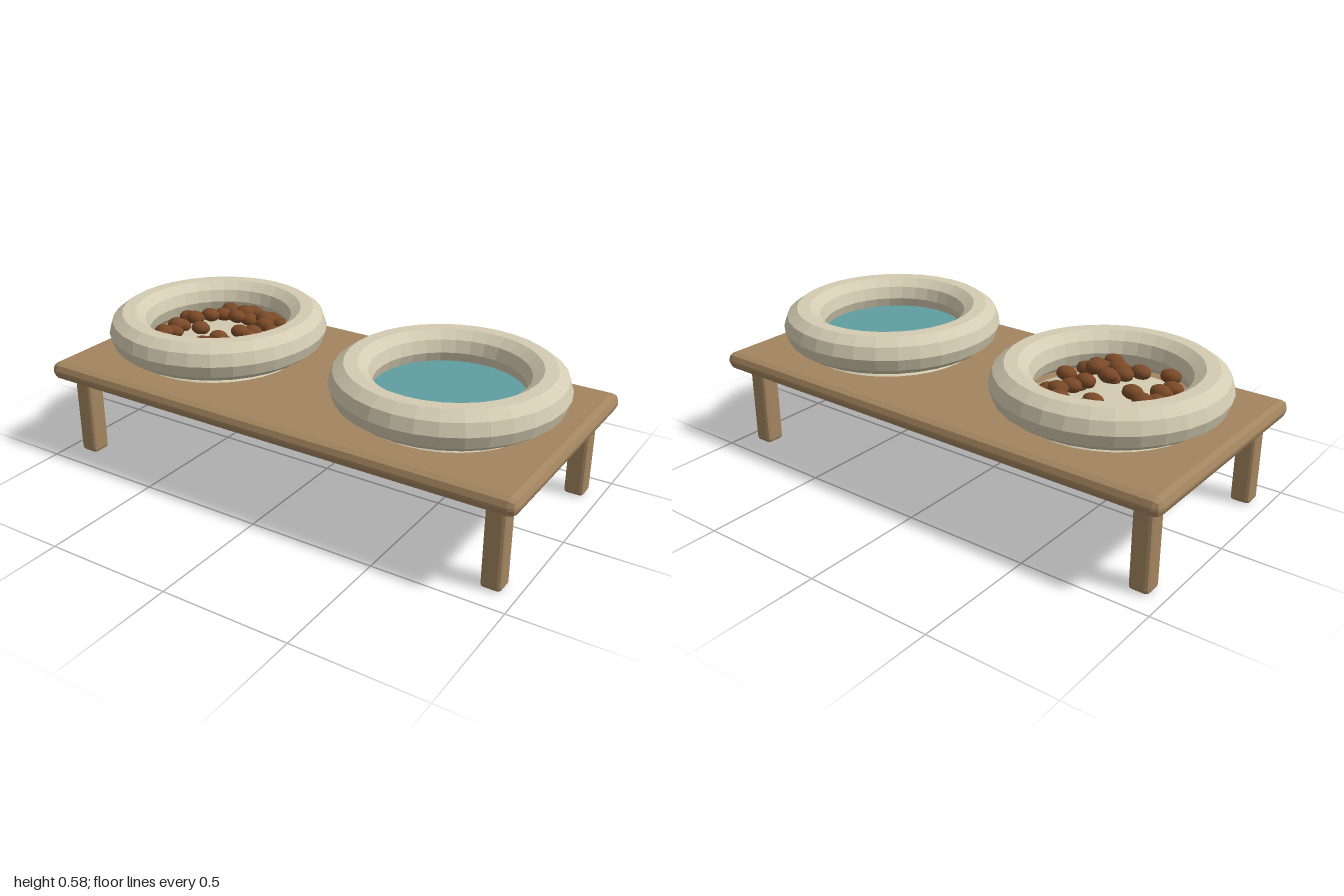
import * as THREE from 'three';
import { RoundedBoxGeometry } from 'three/addons/geometries/RoundedBoxGeometry.js';

const material = (name, color) => {
  const m = new THREE.MeshStandardMaterial({ color });
  m.name = name;
  return m;
};

// Give every face its own normal for a faceted look
function faceted(geometry) {
  const g = geometry.index ? geometry.toNonIndexed() : geometry;
  g.computeVertexNormals();
  return g;
}

// Kibble positions (x, z) relative to the bowl centre
const KIBBLE = [
  [-.02, -.265], [-.11, -.22], [-.02, -.205], [-.115, -.175], [-.14, -.12], [-.02, -.145],
  [.02, -.18], [.11, -.22], [.09, -.19], [.12, -.2], [.18, -.185], [.135, -.13], [.18, -.12],
  [-.2, -.05], [-.155, -.04], [-.18, .02], [-.08, .02], [-.17, .06], [-.165, .085],
  [-.18, .13], [-.13, .205], [0, .215], [.125, -.06], [.095, -.015], [.125, -.025],
  [.2, .02], [.06, .08], [.06, .1], [.03, .14], [.135, .115], [.18, .125], [.14, .155],
  [.06, .155], [.165, .18], [.06, .175], [.11, .205], [.115, .18],
];

export function createModel() {
  const model = new THREE.Group();
  model.name = 'raisedPetFeeder';

  const wood = material('wood', 0xa38560);
  const ceramic = material('ceramic', 0xd3cbb1);
  const waterBlue = material('water', 0x5f9ea0);
  const kibbleBrown = material('kibble', 0x7b4a28);

  const add = (parent, name, geometry, mat, x, y, z) => {
    const mesh = new THREE.Mesh(geometry, mat);
    mesh.name = name;
    mesh.position.set(x, y, z);
    parent.add(mesh);
    return mesh;
  };

  // Stand: board with chamfered edges on four square legs
  add(model, 'board', faceted(new RoundedBoxGeometry(2, 0.07, 0.96, 1, 0.03)), wood, 0, 0.368, 0);
  const legGeometry = faceted(new RoundedBoxGeometry(0.078, 0.35, 0.078, 1, 0.014));
  for (const x of [-1, 1]) {
    for (const z of [-1, 1]) {
      const name = (z > 0 ? 'front' : 'back') + (x > 0 ? 'Left' : 'Right') + 'Leg';
      add(model, name, legGeometry, wood, x * 0.904, 0.177, z * 0.372);
    }
  }

  // Bowls: flattened round body sunk through the board, thick ten-sided rim
  const bodyGeometry = new THREE.SphereGeometry(0.35, 32, 20).scale(1, 0.25, 1);
  const rimGeometry = faceted(new THREE.TorusGeometry(0.356, 0.08, 10, 32).rotateX(-Math.PI / 2));
  const [foodBowl, waterBowl] = [['foodBowl', -0.52], ['waterBowl', 0.52]].map(([name, x]) => {
    const bowl = new THREE.Group();
    bowl.name = name;
    bowl.position.x = x;
    add(bowl, 'bowlBody', bodyGeometry, ceramic, 0, 0.381, 0);
    add(bowl, 'bowlRim', rimGeometry, ceramic, 0, 0.508, 0);
    model.add(bowl);
    return bowl;
  });

  // Water surface
  add(waterBowl, 'water', new THREE.CylinderGeometry(0.282, 0.282, 0.02, 32), waterBlue, 0, 0.463, 0);

  // Kibble scattered over the bowl floor
  const kibbleGeometry = new THREE.SphereGeometry(0.042, 10, 8).scale(1, 0.66, 0.75);
  KIBBLE.forEach(([x, z], i) => {
    add(foodBowl, 'kibble', kibbleGeometry, kibbleBrown, x, 0.475 + 0.01 * (i % 3), z);
  });

  return model;
}
